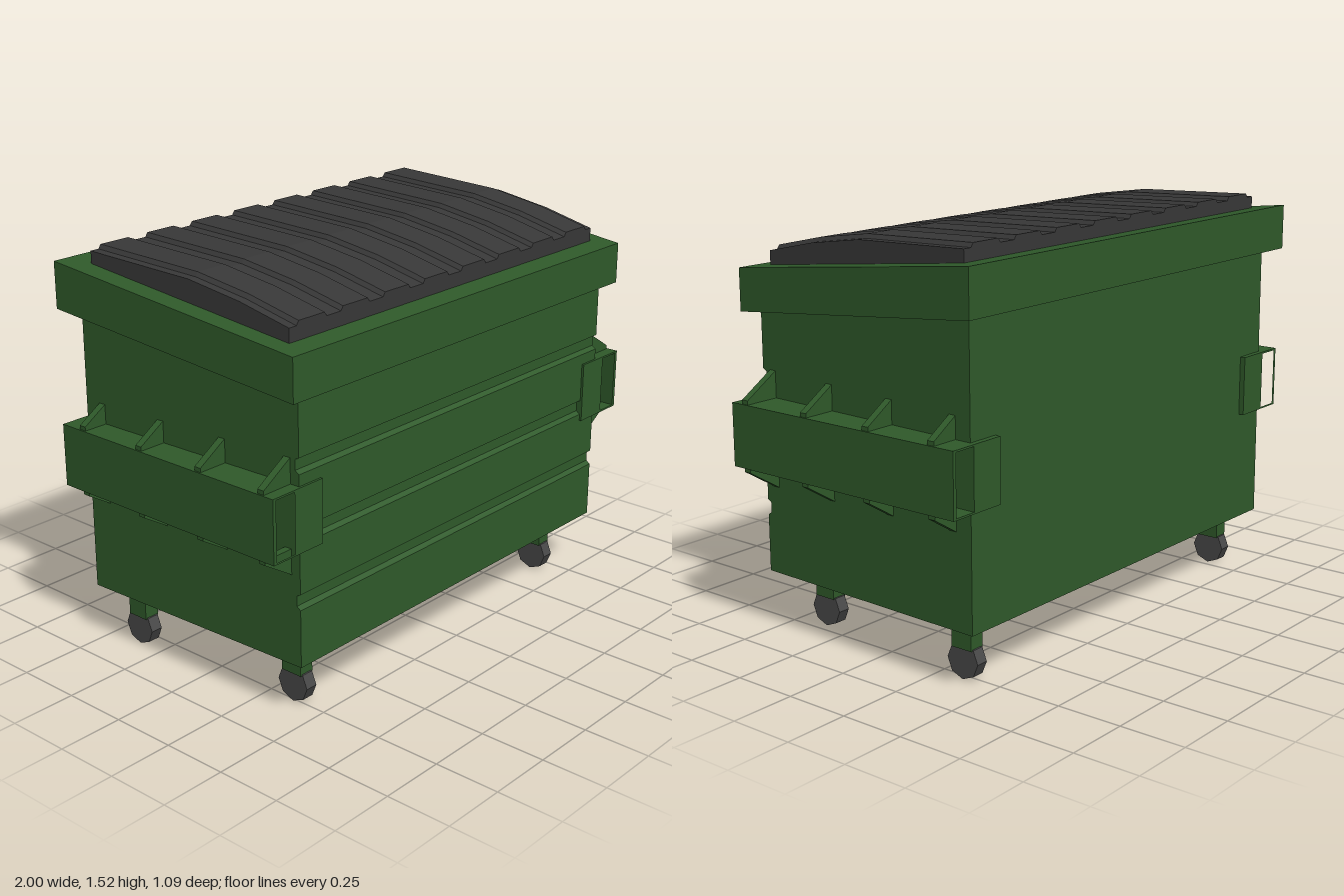
import * as THREE from 'three';

const green = new THREE.MeshStandardMaterial({ color: 0x2f5a2a, flatShading: true });
const lidGrey = new THREE.MeshStandardMaterial({ color: 0x383838, flatShading: true });
const wheelGrey = new THREE.MeshStandardMaterial({ color: 0x484848, flatShading: true });

const shapeOf = (pts) => new THREE.Shape(pts.map(([x, y]) => new THREE.Vector2(x, y)));

// Move every vertex by a rule, then refresh the flat normals
function reshape(geo, rule) {
  const p = geo.attributes.position;
  const v = new THREE.Vector3();
  for (let i = 0; i < p.count; i++) {
    rule(v.fromBufferAttribute(p, i));
    p.setXYZ(i, v.x, v.y, v.z);
  }
  geo.computeVertexNormals();
  return geo;
}

// Extrude a (z, y) side profile across x, with different half widths at back and front
function sideProfile(pts, backHalf, frontHalf) {
  const geo = new THREE.ExtrudeGeometry(shapeOf(pts), { depth: 2, bevelEnabled: false });
  geo.rotateY(-Math.PI / 2).translate(1, 0, 0);
  return reshape(geo, (v) => {
    v.x *= THREE.MathUtils.mapLinear(v.z, -0.5, 0.5, backHalf, frontHalf);
  });
}

// Extrude an (x, y) shape along z, centred on z
function alongZ(shape, depth, z = 0) {
  return new THREE.ExtrudeGeometry(shape, { depth, bevelEnabled: false }).translate(0, 0, z - depth / 2);
}

// Lid: ribbed cross-section swept over a bent roof line
function lidGeometry() {
  const rib = 0.015;
  const outline = [[-0.872, -1], [0.872, -1], [0.872, 0]];
  for (let i = 7; i >= 0; i--) {
    const c = (i - 3.5) * 0.218;
    outline.push([c + 0.074, 0], [c + 0.063, rib], [c - 0.063, rib], [c - 0.074, 0]);
  }
  outline.push([-0.872, 0]);
  // z, roof height and base height at each station, back to front
  const stations = [[-0.452, 1.51, 1.45], [0.02, 1.495, 1.4], [0.25, 1.462, 1.375], [0.463, 1.415, 1.35]];
  const geo = new THREE.ExtrudeGeometry(shapeOf(outline), { depth: 3, steps: 3, bevelEnabled: false });
  return reshape(geo, (v) => {
    const [z, roof, base] = stations[Math.round(v.z)];
    v.y = v.y < -0.5 ? base : roof + v.y;
    v.x *= THREE.MathUtils.mapLinear(z, -0.452, 0.463, 1, 0.973);
    v.z = z;
  });
}

export function createModel() {
  const model = new THREE.Group();
  const add = (name, geo, mat, parent = model) => {
    const mesh = new THREE.Mesh(geo, mat);
    mesh.name = name;
    parent.add(mesh);
    return mesh;
  };

  // Body with pressed grooves across the front
  const front = 0.506;
  const profile = [[-0.497, 0.225], [front, 0.225]];
  for (const y of [0.44, 0.68, 0.93]) {
    profile.push([front, y], [front - 0.016, y + 0.012], [front - 0.016, y + 0.05], [front, y + 0.058]);
  }
  profile.push([front, 1.24], [-0.492, 1.34]);
  add('body', sideProfile(profile, 0.895, 0.86), green).position.x = -0.006;

  // Sloping collar round the top
  const collar = [[0.546, 1.198], [0.546, 1.355], [-0.546, 1.475], [-0.546, 1.303]];
  add('topRim', sideProfile(collar, 0.958, 0.923), green).position.x = -0.008;

  add('lid', lidGeometry(), lidGrey).position.x = -0.008;

  // Fork pockets on both sides, with gussets above and below
  const midY = 0.7715;
  for (const s of [-1, 1]) {
    const pocket = new THREE.Group();
    pocket.name = s > 0 ? 'leftForkPocket' : 'rightForkPocket';
    model.add(pocket);

    const rect = (x0, x1, h) => [[s * x0, midY - h], [s * x1, midY - h], [s * x1, midY + h], [s * x0, midY + h]];
    const sleeve = shapeOf(rect(0.762, 0.998, 0.117));
    sleeve.holes.push(shapeOf(rect(0.896, 0.984, 0.11)));
    add('sleeve', alongZ(sleeve, 1.03), green, pocket);

    for (const z of [0.455, 0.165, -0.125, -0.415]) {
      for (const up of [1, -1]) {
        const pts = [[0.85, 0.115], [0.992, 0.115], [0.992, 0.132], [0.85, 0.22]];
        const gusset = shapeOf(pts.map(([x, y]) => [s * x, midY + up * y]));
        add('gusset', alongZ(gusset, 0.028, z), green, pocket);
      }
    }
  }

  // Casters: the front pair stands closer together
  for (const [z, half] of [[0.364, 0.713], [-0.358, 0.778]]) {
    for (const s of [-1, 1]) {
      const caster = new THREE.Group();
      caster.name = (z > 0 ? 'front' : 'back') + (s > 0 ? 'Left' : 'Right') + 'Caster';
      caster.position.set(s * half - 0.023, 0, z);
      model.add(caster);
      add('leg', new THREE.BoxGeometry(0.06, 0.125, 0.088).translate(0, 0.175, 0), green, caster);
      const wheel = new THREE.CylinderGeometry(0.068, 0.068, 0.048, 8).rotateZ(Math.PI / 2);
      add('wheel', wheel.translate(0, 0.068, 0), wheelGrey, caster);
    }
  }
  return model;
}
